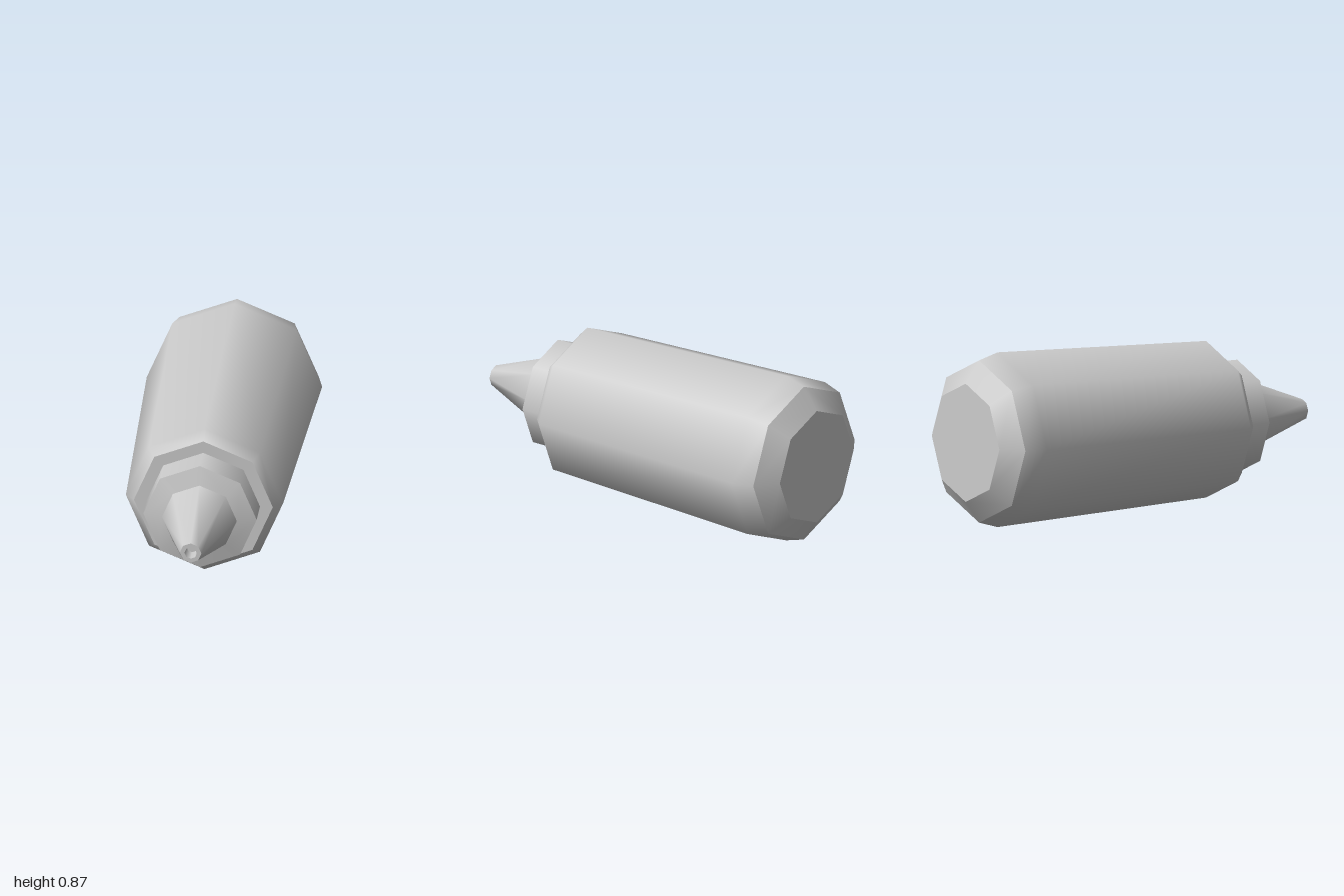
import * as THREE from 'three';

const SIDES = 8;
const AXIS_HEIGHT = 0.433;

export function createModel() {
  const model = new THREE.Group();
  model.name = 'nozzleBottle';
  const material = new THREE.MeshStandardMaterial({ color: 0xcccccc });

  // Turns a [radius, z] profile around the long axis, back to front;
  // each part is smooth within itself and sharp where it meets the next.
  const turn = (name, ...profile) => {
    const points = profile.map(([r, z]) => new THREE.Vector2(r, z));
    const geometry = new THREE.LatheGeometry(points, SIDES);
    geometry.rotateX(Math.PI / 2);
    const mesh = new THREE.Mesh(geometry, material);
    mesh.name = name;
    mesh.position.y = AXIS_HEIGHT;
    model.add(mesh);
  };

  // Body: flat base, bevel, tapering barrel with rounded shoulder
  turn('base', [0, -1], [0.293, -1]);
  turn('baseBevel', [0.293, -1], [0.402, -0.92]);
  turn('barrel', [0.402, -0.92], [0.433, -0.81], [0.388, 0.43], [0.343, 0.475]);
  turn('shoulder', [0.343, 0.475], [0.28, 0.475]);

  // Collar
  turn('collar', [0.28, 0.475], [0.28, 0.615]);
  turn('collarBevel', [0.28, 0.615], [0.185, 0.64]);

  // Nozzle with a short blind bore
  turn('nozzle', [0.185, 0.64], [0.053, 1]);
  turn('nozzleRim', [0.053, 1], [0.031, 1]);
  turn('bore', [0.031, 1], [0.027, 0.94]);
  turn('boreFloor', [0.027, 0.94], [0, 0.94]);

  return model;
}
